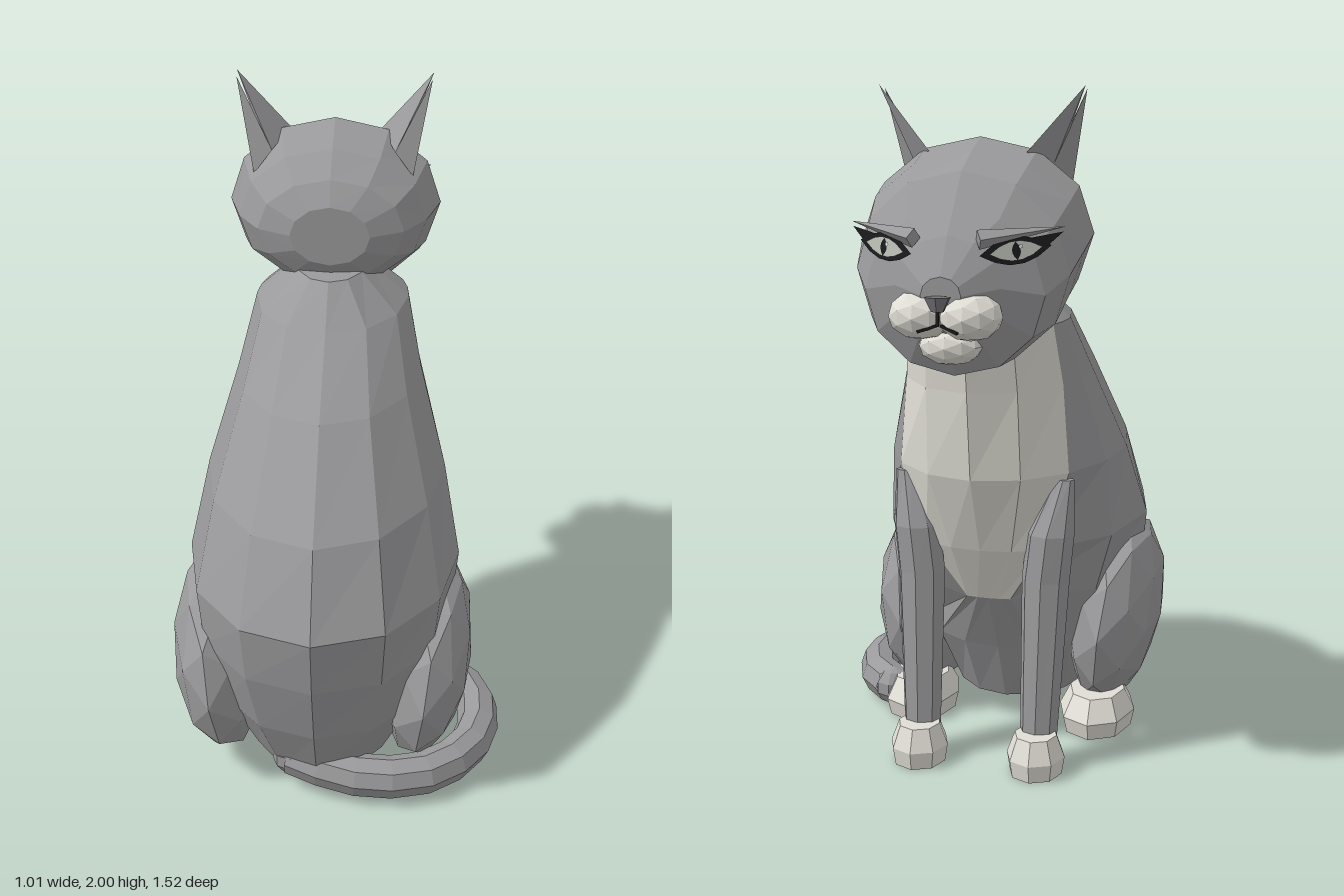
import * as THREE from 'three';

const mat = (name, color) => {
  const m = new THREE.MeshStandardMaterial({ color, flatShading: true, side: THREE.DoubleSide });
  m.name = name;
  return m;
};
const fur = mat('grey fur', 0x9a9a9c);
const cream = mat('cream fur', 0xdfddd4);
const black = mat('black', 0x1c1c1e);
const iris = mat('eye grey', 0xc2c6ba);
const noseMat = mat('nose grey', 0x77757a);
const white = mat('white', 0xffffff);

function add(parent, name, geo, material, pos = [0, 0, 0], scale = [1, 1, 1]) {
  const m = new THREE.Mesh(geo, material);
  m.name = name;
  m.position.set(...pos);
  m.scale.set(...scale);
  parent.add(m);
  return m;
}

// Skin over closed rings of points; isLight(ring, side) sends a quad to the second material
function loft(rings, isLight = () => false) {
  const buckets = [[], []];
  const n = rings[0].length;
  const center = r => r.reduce((s, p) => s.add(p), new THREE.Vector3()).divideScalar(n);
  const tri = (k, ...pts) => pts.forEach(p => buckets[k].push(p.x, p.y, p.z));
  const first = rings[0], last = rings[rings.length - 1];
  const c0 = center(first), c1 = center(last);
  for (let j = 0; j < n; j++) {
    const k = (j + 1) % n;
    tri(0, c0, first[k], first[j]);
    tri(0, c1, last[j], last[k]);
    for (let i = 0; i < rings.length - 1; i++) {
      const a = rings[i], b = rings[i + 1], g = isLight(i, j) ? 1 : 0;
      tri(g, a[j], a[k], b[k]);
      tri(g, a[j], b[k], b[j]);
    }
  }
  const geo = new THREE.BufferGeometry();
  geo.setAttribute('position', new THREE.Float32BufferAttribute([...buckets[0], ...buckets[1]], 3));
  geo.addGroup(0, buckets[0].length / 3, 0);
  geo.addGroup(buckets[0].length / 3, buckets[1].length / 3, 1);
  geo.computeVertexNormals();
  return geo;
}

const even = n => Array.from({ length: n }, (_, j) => j / n * 360);
const ring = (angles, f) => angles.map(a => {
  const t = THREE.MathUtils.degToRad(a);
  return new THREE.Vector3(...f(Math.sin(t), Math.cos(t)));
});
// Horizontal ring: height, back z, front z, half width, x centre
const levelRing = (angles, [y, zb, zf, hw, x = 0]) =>
  ring(angles, (s, c) => [x + hw * s, y, (zb + zf) / 2 + (zb - zf) / 2 * c]);
// Upright ring: z, top, bottom, half width
const uprightRing = (angles, [z, top, bot, hw]) =>
  ring(angles, (s, c) => [hw * s, (top + bot) / 2 + (top - bot) / 2 * c, z]);
// Body angles, with corners on the edge of the bib (degrees from the chest line)
function bibAngles(bib) {
  const half = [30, 60, 90, (270 - bib) / 2, 180 - bib, 180 - bib / 2];
  return [0, ...half, 180, ...half.map(a => 360 - a).reverse()];
}

// Pointed almond for the eyes
function almond(w, h) {
  const s = new THREE.Shape();
  s.moveTo(-w, 0);
  s.quadraticCurveTo(0, h * 2, w, 0);
  s.quadraticCurveTo(0, -h * 2, -w, 0);
  return new THREE.ShapeGeometry(s, 5);
}

// Folded ear with a notch between its two points
function ear(s) {
  const P = (x, y, z) => [s * x, y, z];
  const outer = P(0.24, 1.71, -0.2), back = P(0.185, 1.78, -0.21), inner = P(0.14, 1.82, -0.335);
  const hollow = P(0.2, 1.78, -0.27), notch = P(0.245, 1.88, -0.262);
  const tipB = P(0.292, 1.99, -0.258), tipF = P(0.295, 2.0, -0.3);
  const make = tris => {
    const g = new THREE.BufferGeometry();
    const pts = tris.flatMap(([a, b, c]) => s > 0 ? [a, b, c] : [a, c, b]);
    g.setAttribute('position', new THREE.Float32BufferAttribute(pts.flat(), 3));
    g.computeVertexNormals();
    return g;
  };
  const group = new THREE.Group();
  group.name = 'ear';
  add(group, 'earBack', make([[outer, tipB, back], [back, tipB, notch], [back, notch, tipF], [back, tipF, inner]]), fur);
  add(group, 'earInside', make([[outer, hollow, tipB], [hollow, notch, tipB], [hollow, tipF, notch], [hollow, inner, tipF]]), fur);
  return group;
}

function eye(s) {
  const g = new THREE.Group();
  g.name = 'eye';
  g.position.set(s * 0.178, 1.583, -0.617);
  g.lookAt(s * 0.6, 1.63, -1.4);
  g.rotateZ(-s * 0.12);
  add(g, 'eyeRim', almond(0.098, 0.037), black);
  add(g, 'iris', almond(0.072, 0.026), iris, [0, 0, 0.004]);
  add(g, 'pupil', almond(0.024, 0.012), black, [0, 0, 0.007]).rotation.z = Math.PI / 2;
  add(g, 'eyeGlint', new THREE.CircleGeometry(0.006, 6), white, [0.013, 0.01, 0.009]);
  // dark outer corner and lid ridge
  const corner = new THREE.Shape([[0.05, 0.027], [0.06, -0.018], [0.135, 0.03]]
    .map(([x, y]) => new THREE.Vector2(-s * x, y)));
  add(g, 'eyeCorner', new THREE.ShapeGeometry(corner), black, [0, 0, -0.002]);
  add(g, 'browRidge', new THREE.ConeGeometry(0.026, 0.24, 4), fur, [-s * 0.025, 0.042, -0.004])
    .rotation.z = s * 1.57;
  return g;
}

export function createModel() {
  const model = new THREE.Group();
  model.name = 'sittingCat';
  const cat = new THREE.Group();
  cat.name = 'cat';
  cat.position.x = -0.05;
  model.add(cat);

  // Body with a cream bib narrowing down the chest; the last number is the bib's half angle
  const body = [
    [0.08, 0.58, 0.0, 0.22, 50], [0.28, 0.67, -0.1, 0.33, 40], [0.48, 0.73, -0.22, 0.39, 10],
    [0.66, 0.76, -0.32, 0.41, 26], [0.9, 0.64, -0.425, 0.36, 45], [1.16, 0.39, -0.46, 0.28, 57],
    [1.34, 0.15, -0.49, 0.235, 65], [1.45, 0.02, -0.35, 0.11, 60],
  ].map(([y, zb, zf, hw, bib]) => levelRing(bibAngles(bib), [y, zb, zf, hw]));
  add(cat, 'body', loft(body, (i, j) => i >= 2 && j >= 5 && j <= 8), [fur, cream]);

  // Head, tapering to the bridge of the nose
  const head = [
    [-0.04, 1.66, 1.48, 0.12], [-0.085, 1.73, 1.42, 0.22], [-0.17, 1.8, 1.375, 0.285],
    [-0.3, 1.86, 1.34, 0.325], [-0.4, 1.825, 1.31, 0.32], [-0.5, 1.78, 1.24, 0.3],
    [-0.58, 1.69, 1.235, 0.25], [-0.645, 1.62, 1.35, 0.145], [-0.71, 1.52, 1.42, 0.055],
  ].map(r => uprightRing(even(12), r));
  add(cat, 'head', loft(head), [fur, cream]);

  const blob = new THREE.IcosahedronGeometry(1, 1);
  add(cat, 'chin', blob, cream, [0, 1.325, -0.61], [0.09, 0.055, 0.075]);
  add(cat, 'nose', new THREE.CylinderGeometry(0.038, 0.018, 0.038, 6), noseMat, [0, 1.452, -0.737], [1, 1, 0.6]);
  add(cat, 'lipLine', new THREE.BoxGeometry(0.008, 0.04, 0.008), black, [0, 1.415, -0.737]);

  const paw = new THREE.LatheGeometry(
    [[0, 0], [0.9, 0], [1, 0.45], [0.72, 1], [0, 1]].map(p => new THREE.Vector2(...p)), 8);

  for (const s of [1, -1]) {
    cat.add(ear(s), eye(s));
    add(cat, 'muzzle', blob, cream, [s * 0.068, 1.412, -0.662], [0.088, 0.066, 0.09]);
    add(cat, 'mouthLine', new THREE.BoxGeometry(0.055, 0.007, 0.007), black, [s * 0.03, 1.387, -0.735])
      .rotation.set(0, s * 0.35, -s * 0.3);

    // Front leg and paw
    const leg = [
      [0.09, -0.265, -0.37, 0.056, s * 0.18], [0.58, -0.205, -0.348, 0.072, s * 0.19],
      [0.72, -0.21, -0.345, 0.07, s * 0.205], [0.88, -0.245, -0.285, 0.03, s * 0.24],
    ].map(r => levelRing(even(8), r));
    add(cat, 'frontLeg', loft(leg), [fur, cream]);
    add(cat, 'frontPaw', paw, cream, [s * 0.18, 0, -0.352], [0.088, 0.12, 0.1]);

    // Haunch and hind paw
    add(cat, 'haunch', blob, fur, [s * 0.315, 0.325, 0.25], [0.145, 0.31, 0.365]).rotation.z = s * -0.12;
    add(cat, 'hindPaw', paw, cream, [s * 0.29, 0, 0.05], [0.12, 0.12, 0.17]);
  }

  // Tail curled round the left side
  const path = new THREE.CatmullRomCurve3([
    [-0.08, 0.11, 0.52], [0.1, 0.085, 0.575], [0.3, 0.075, 0.555], [0.435, 0.072, 0.44],
    [0.488, 0.07, 0.29], [0.468, 0.07, 0.12], [0.38, 0.07, 0.015],
  ].map(p => new THREE.Vector3(...p)));
  add(cat, 'tail', new THREE.TubeGeometry(path, 10, 0.064, 8), fur);
  for (const t of [0, 1]) {
    add(cat, 'tailEnd', new THREE.SphereGeometry(0.062, 8, 5), fur, path.getPoint(t).toArray());
  }
  return model;
}
